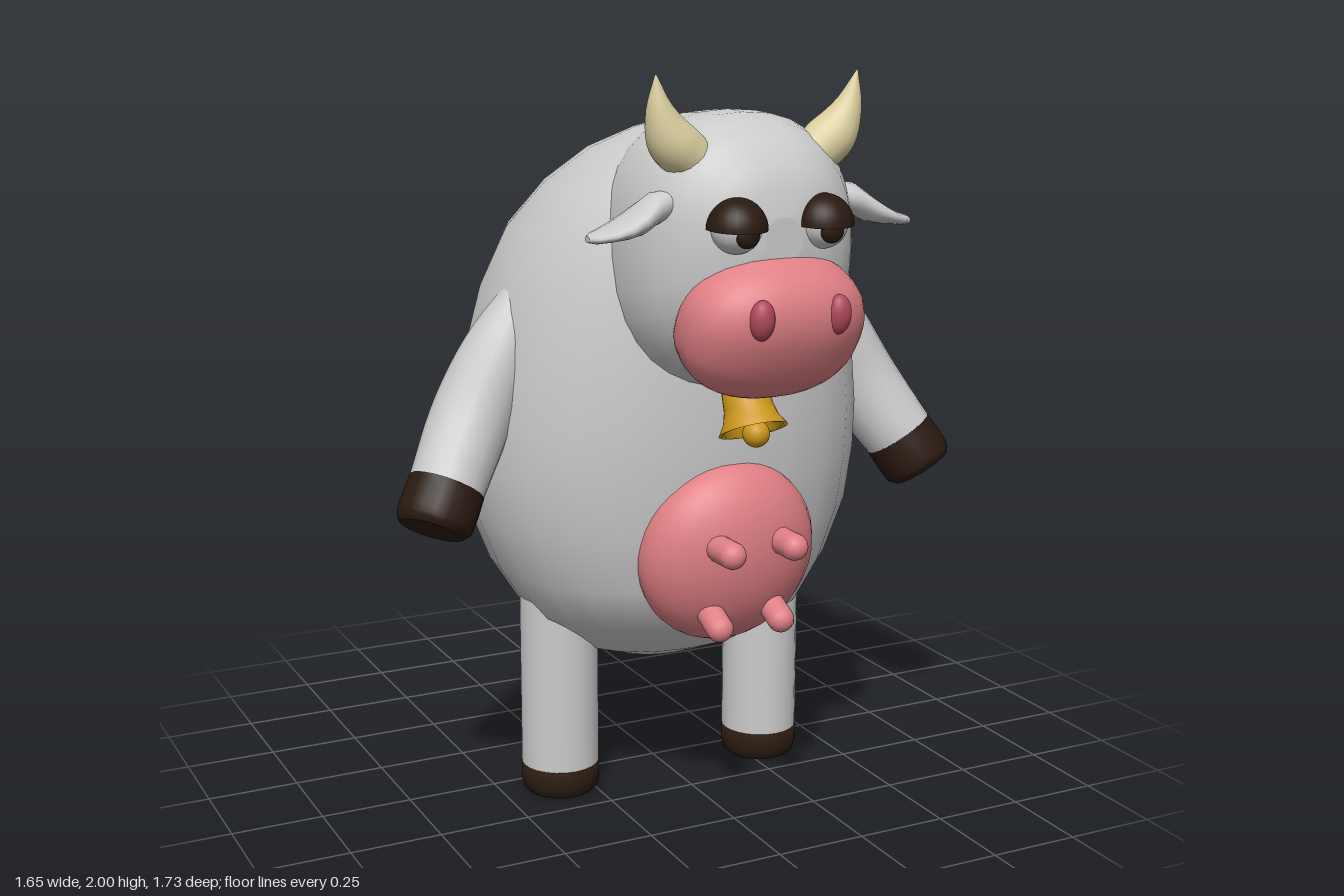
import * as THREE from 'three';

const V = (x, y, z) => new THREE.Vector3(x, y, z);
const mat = (color) => new THREE.MeshStandardMaterial({ color, side: THREE.DoubleSide });
const GREY = mat(0xcccccc), PINK = mat(0xe08085), ROSE = mat(0xb04a5c);
const DARK = mat(0x2a1a10), HORN = mat(0xdcd0a0), GOLD = mat(0xcc981a);

// Ring around centre c: u and v are the axes, a and b the radii, p the squareness
function ring(c, u, v, a, b, p = 2, n = 24) {
  const q = (k) => Math.sign(k) * Math.abs(k) ** (2 / p);
  return Array.from({ length: n }, (_, j) => {
    const t = (j / n) * Math.PI * 2;
    return c.clone().addScaledVector(u, a * q(Math.cos(t))).addScaledVector(v, b * q(Math.sin(t)));
  });
}

// Skin over successive rings, with a cap at each end
function loft(rings) {
  const n = rings[0].length, pos = [], idx = [];
  rings.forEach((r) => r.forEach((p) => pos.push(p.x, p.y, p.z)));
  for (let i = 0; i < rings.length - 1; i++) {
    for (let j = 0; j < n; j++) {
      const a = i * n + j, b = i * n + ((j + 1) % n);
      idx.push(a, b, a + n, b, b + n, a + n);
    }
  }
  [rings[0], rings[rings.length - 1]].forEach((r, end) => {
    const s = pos.length / 3, c = V(0, 0, 0);
    r.forEach((p) => { pos.push(p.x, p.y, p.z); c.addScaledVector(p, 1 / n); });
    pos.push(c.x, c.y, c.z);
    for (let j = 0; j < n; j++) {
      const k = (j + 1) % n;
      if (end) idx.push(s + n, s + j, s + k); else idx.push(s + n, s + k, s + j);
    }
  });
  const g = new THREE.BufferGeometry();
  g.setAttribute('position', new THREE.Float32BufferAttribute(pos, 3));
  g.setIndex(idx);
  g.computeVertexNormals();
  return g;
}

// Tapered tube through points [x, y, z, radius]
function taper(pts, ref = V(0, 0, 1), steps = 14, n = 18) {
  const path = new THREE.CatmullRomCurve3(pts.map((p) => V(p[0], p[1], p[2])));
  const rad = new THREE.CatmullRomCurve3(pts.map((p, i) => V(p[3], i * 0.1, 0)));
  const rings = [];
  for (let i = 0; i <= steps; i++) {
    const k = i / steps, t = path.getTangent(k);
    const u = ref.clone().cross(t).normalize(), v = t.clone().cross(u);
    const r = Math.max(rad.getPoint(k).x, 0.002);
    rings.push(ring(path.getPoint(k), u, v, r, r, 2, n));
  }
  return loft(rings);
}

export function createModel() {
  const cow = new THREE.Group();
  cow.name = 'cow';
  cow.position.x = -0.017;
  const add = (name, geo, m, p = [0, 0, 0], rx = 0, s = [1, 1, 1]) => {
    const mesh = new THREE.Mesh(geo, m);
    mesh.name = name;
    mesh.position.set(...p);
    mesh.rotation.x = rx;
    mesh.scale.set(...s);
    cow.add(mesh);
    return mesh;
  };
  const X = V(1, 0, 0), Y = V(0, 1, 0), Z = V(0, 0, 1);
  const ball = new THREE.SphereGeometry(1, 28, 20);

  // Body: y, half width, front z, back z
  const body = [
    [0.355, 0.08, 0.1, -0.08], [0.375, 0.16, 0.18, -0.12], [0.42, 0.27, 0.28, -0.18],
    [0.53, 0.4, 0.42, -0.27], [0.65, 0.475, 0.47, -0.345], [0.8, 0.535, 0.5, -0.375],
    [0.95, 0.557, 0.515, -0.39], [1.08, 0.557, 0.525, -0.397], [1.25, 0.537, 0.525, -0.38],
    [1.42, 0.5, 0.515, -0.33], [1.58, 0.44, 0.5, -0.245], [1.7, 0.35, 0.49, -0.15],
    [1.79, 0.25, 0.47, -0.03], [1.85, 0.165, 0.44, 0.15], [1.88, 0.09, 0.41, 0.28],
  ];
  add('body', loft(body.map(([y, w, f, b]) => ring(V(0, y, (f + b) / 2), Z, X, (f - b) / 2, w, 2.2))), GREY);

  // Head: z, half width, top y, bottom y
  const head = [
    [0.31, 0.285, 1.885, 1.2], [0.36, 0.3, 1.895, 1.19], [0.46, 0.305, 1.903, 1.19],
    [0.54, 0.3, 1.9, 1.21], [0.61, 0.28, 1.88, 1.25], [0.67, 0.24, 1.845, 1.31],
    [0.715, 0.185, 1.79, 1.39], [0.74, 0.12, 1.73, 1.47], [0.752, 0.05, 1.66, 1.55],
  ];
  add('head', loft(head.map(([z, w, t, b]) => ring(V(0, (t + b) / 2, z), X, Y, w, (t - b) / 2, 2.4, 32))), GREY);

  // Muzzle: a slightly squared ball, tipped forward
  const muzzle = ball.clone(), mp = muzzle.attributes.position;
  const square = (k) => Math.sign(k) * Math.abs(k) ** 0.86;
  for (let i = 0; i < mp.count; i++) mp.setXYZ(i, square(mp.getX(i)), square(mp.getY(i)), square(mp.getZ(i)));
  muzzle.computeVertexNormals();
  add('muzzle', muzzle, PINK, [0, 1.39, 0.685], 0.5, [0.245, 0.185, 0.155]);

  // Bell under the chin, with its clapper
  const bell = [[0.001, 0.14], [0.045, 0.138], [0.06, 0.12], [0.064, 0.06], [0.072, 0.03], [0.09, 0],
    [0.078, 0.002], [0.055, 0.05], [0.05, 0.11], [0.001, 0.12]].map((p) => new THREE.Vector2(...p));
  add('bell', new THREE.LatheGeometry(bell.reverse(), 24), GOLD, [0, 1.105, 0.61], -0.45);
  add('bellClapper', ball, GOLD, [0, 1.1, 0.625], 0, [0.035, 0.035, 0.035]);

  // Udder
  add('udder', ball, PINK, [0, 0.752, 0.468], 0.18, [0.25, 0.25, 0.15]);

  // Tail and tuft
  add('tail', taper([[0, 0.69, -0.28, 0.045], [0, 0.66, -0.42, 0.04], [0, 0.685, -0.54, 0.034],
    [0, 0.76, -0.65, 0.026], [0, 0.89, -0.76, 0.018]], X), GREY);
  add('tailTuft', taper([[0, 0.86, -0.745, 0.015], [0, 0.885, -0.76, 0.05], [0, 0.93, -0.785, 0.07],
    [0, 0.985, -0.82, 0.05], [0, 1.055, -0.858, 0.003]], X), DARK);

  for (const s of [1, -1]) {
    const side = s > 0 ? 'left' : 'right';
    const flip = (pts) => pts.map(([x, ...r]) => [x * s, ...r]);

    // Eye with a heavy lid
    add(side + 'Eye', ball, GREY, [s * 0.12, 1.64, 0.728], 0, [0.064, 0.064, 0.064]);
    add(side + 'Pupil', ball, DARK, [s * 0.117, 1.627, 0.78], 0, [0.032, 0.032, 0.018]);
    add(side + 'Eyelid', new THREE.SphereGeometry(0.076, 24, 10, 0, Math.PI * 2, 0, Math.PI / 2), DARK,
      [s * 0.12, 1.637, 0.732], 0.06);
    add(side + 'Nostril', ball, ROSE, [s * 0.106, 1.43, 0.835], 0.1, [0.032, 0.05, 0.03]);

    // Ear: x, y, half height, half depth
    const ear = [[0.24, 1.69, 0.035, 0.04], [0.28, 1.68, 0.04, 0.055], [0.32, 1.655, 0.036, 0.068],
      [0.36, 1.637, 0.026, 0.073], [0.4, 1.625, 0.018, 0.064], [0.435, 1.618, 0.014, 0.042], [0.453, 1.616, 0.008, 0.014]];
    add(side + 'Ear', loft(ear.map(([x, y, h, d]) =>
      ring(V(s * x, y, 0.6), Y, V(0, 0, s), h, d, 2, 16))), GREY);

    add(side + 'Horn', taper(flip([[0.165, 1.79, 0.59, 0.06], [0.225, 1.84, 0.594, 0.062],
      [0.262, 1.91, 0.604, 0.037], [0.28, 2.0, 0.616, 0.002]])), HORN);

    // Arm and its hoof
    add(side + 'Arm', taper(flip([[0.41, 1.45, 0.15, 0.05], [0.5, 1.28, 0.15, 0.095],
      [0.59, 1.11, 0.165, 0.108], [0.692, 0.94, 0.235, 0.1]])), GREY);
    add(side + 'ArmHoof', taper(flip([[0.687, 0.948, 0.232, 0.101], [0.715, 0.9, 0.25, 0.103],
      [0.737, 0.863, 0.264, 0.1], [0.745, 0.848, 0.27, 0.085]]), Z, 8), DARK);

    // Leg and its hoof
    add(side + 'Leg', new THREE.CylinderGeometry(0.108, 0.108, 0.49, 24), GREY, [s * 0.318, 0.325, 0.092]);
    const hoof = [[0, 0], [0.092, 0], [0.104, 0.012], [0.109, 0.035], [0.109, 0.082], [0, 0.082]];
    add(side + 'LegHoof', new THREE.LatheGeometry(hoof.map((p) => new THREE.Vector2(...p)), 24), DARK,
      [s * 0.318, 0, 0.092]);

    // Teats
    const teat = new THREE.CapsuleGeometry(0.036, 0.1, 6, 14);
    add(side + 'UpperTeat', teat, PINK, [s * 0.09, 0.803, 0.622], Math.PI / 2);
    add(side + 'LowerTeat', teat, PINK, [s * 0.09, 0.612, 0.562], Math.PI / 2 + 0.45);
  }
  return cow;
}
